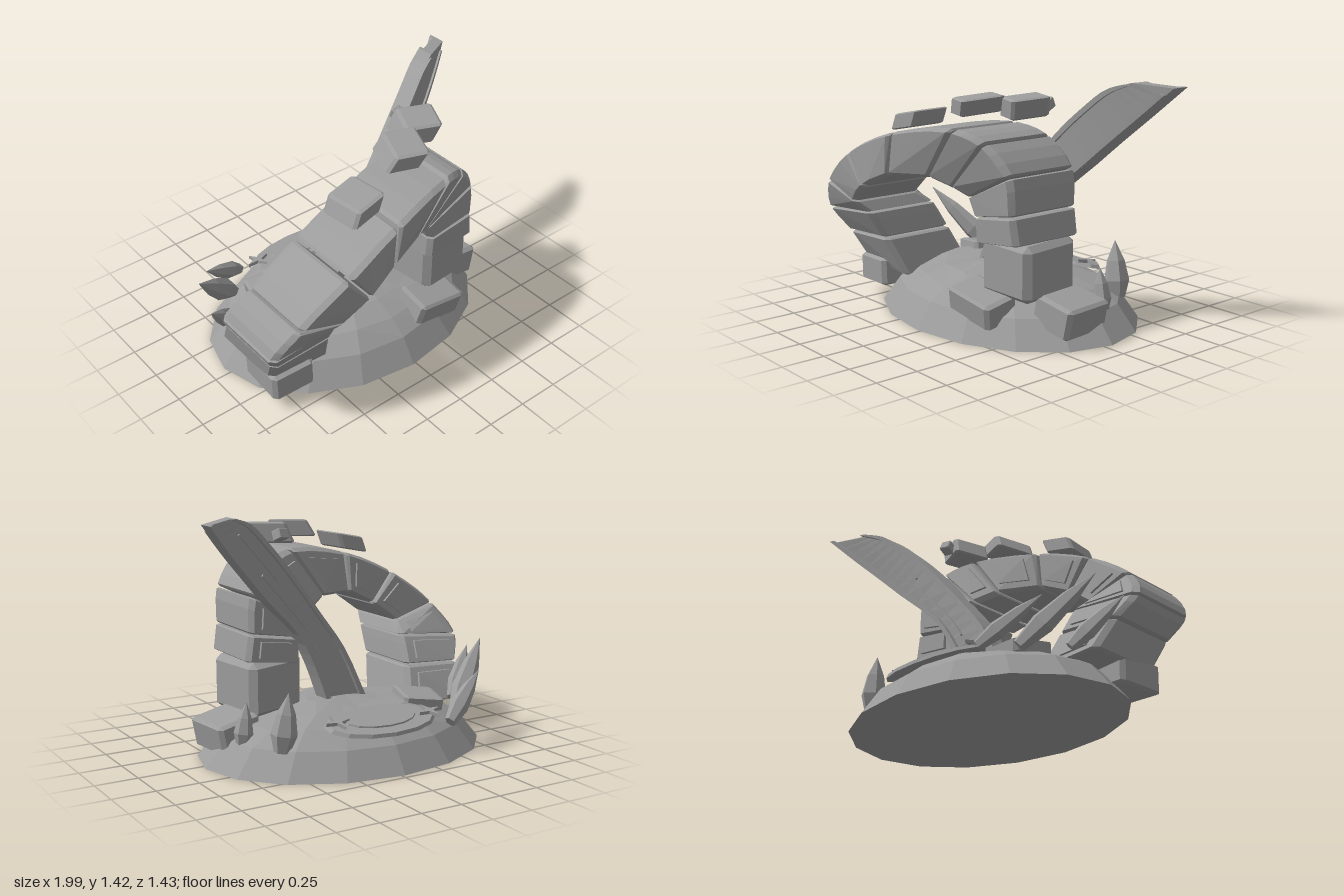
import * as THREE from 'three';
import { ConvexGeometry } from 'three/addons/geometries/ConvexGeometry.js';

const stone = new THREE.MeshStandardMaterial({ color: 0x9c9c9c });
stone.name = 'grey stone';

const V = (x, y, z) => new THREE.Vector3(x, y, z);
const lerp = THREE.MathUtils.lerp;

function flat(geometry) {
  const g = geometry.index ? geometry.toNonIndexed() : geometry;
  g.computeVertexNormals();
  return g;
}

export function createModel() {
  const model = new THREE.Group();
  model.name = 'ruinedArch';
  const add = (name, geometry, parent = model) => {
    const mesh = new THREE.Mesh(geometry, stone);
    mesh.name = name;
    parent.add(mesh);
    return mesh;
  };

  // Low-poly mound
  const profile = [[0, 0], [1, 0], [0.86, 0.15], [0.7, 0.23], [0.5, 0.275], [0.26, 0.3], [0, 0.315]];
  const mound = new THREE.LatheGeometry(profile.map(p => new THREE.Vector2(...p)), 16);
  const mp = mound.attributes.position;
  for (let i = 0; i < mp.count; i++) {
    const x = mp.getX(i), y = mp.getY(i), z = mp.getZ(i);
    const bump = y > 0.2 ? 0.012 * Math.sin(x * 9 + z * 5) : 0;
    mp.setXYZ(i, x * 0.89 - 0.02, y + bump, z * 0.67 - 0.05);
  }
  add('mound', flat(mound));

  // Shallow stepped pool on the mound
  [[0.36, 0.17, 0.25, -0.46], [0.24, 0.11, 0.262, -0.45]].forEach(([rx, rz, y, z]) => {
    const rim = add('poolStep', flat(new THREE.CylinderGeometry(0.95, 1, 0.02, 14)));
    rim.scale.set(rx, 1, rz);
    rim.position.set(-0.03, y, z);
    rim.rotation.x = -0.25;
  });

  // Four-pointed stars lying by the pool
  [[-0.35, 0.255, -0.48, 0.2], [0.25, 0.265, -0.45, 0.1]].forEach(([x, y, z, turn]) => {
    const shape = new THREE.Shape();
    for (let i = 0; i < 8; i++) {
      const r = i % 2 ? 0.022 : 0.08, a = i * Math.PI / 4 + turn;
      shape[i ? 'lineTo' : 'moveTo'](r * Math.cos(a), r * Math.sin(a));
    }
    const star = add('star', new THREE.ExtrudeGeometry(shape, { depth: 0.02, bevelEnabled: false }));
    star.rotation.x = -Math.PI / 2 - 0.2;
    star.position.set(x, y, z);
  });

  // Arch joints: outer x, y; inner x, y; front z; back z
  const joints = [
    [0.60, 0.57, 0.25, 0.53, 0.42, -0.05], [0.575, 0.73, 0.25, 0.68, 0.43, -0.05],
    [0.56, 0.95, 0.2, 0.78, 0.44, -0.05], [0.42, 1.12, 0.13, 0.83, 0.5, 0],
    [0.24, 1.18, 0.01, 0.88, 0.57, 0.08], [-0.2, 1.12, -0.23, 0.87, 0.67, 0.19],
    [-0.57, 0.97, -0.42, 0.78, 0.71, 0.22], [-0.87, 0.75, -0.57, 0.66, 0.67, 0.2],
    [-0.99, 0.55, -0.54, 0.59, 0.59, 0.1], [-0.92, 0.4, -0.52, 0.42, 0.49, 0],
    [-0.87, 0.2, -0.46, 0.17, 0.38, -0.12]];
  const curveOf = f => new THREE.CatmullRomCurve3(joints.map(f));
  const outer = curveOf(j => V(j[0], j[1], 0));
  const inner = curveOf(j => V(j[2], j[3], 0));
  const faces = curveOf(j => V(j[4], j[5], 0));
  // Point of the arch at joint u, a = 0 inner..1 outer, b = 0 back..1 front
  const archPoint = (u, a, b) => {
    const t = u / (joints.length - 1), f = faces.getPoint(t);
    const p = inner.getPoint(t).lerp(outer.getPoint(t), a);
    p.z = lerp(f.y, f.x, b);
    return p;
  };
  const section = (u, e, c) => [[e, c], [e, 1 - c], [c, 1 - e], [1 - c, 1 - e],
    [1 - e, 1 - c], [1 - e, c], [1 - c, e], [c, e]].map(([a, b]) => archPoint(u, a, b));

  const arch = new THREE.Group();
  arch.name = 'arch';
  model.add(arch);
  for (let i = 0; i < joints.length - 1; i++) {
    const block = [[0.025, 0.04], [0.07, 0], [0.35, 0], [0.65, 0], [0.93, 0], [0.975, 0.04]]
      .flatMap(([u, e]) => section(i + u, e, 0.07));
    add('archBlock', new ConvexGeometry(block), arch);
    // Raised panel on the back face
    const plate = [];
    for (const u of [0.2, 0.8]) for (const a of [0.2, 0.8]) {
      const p = archPoint(i + u, a, 0);
      plate.push(p.clone().setZ(p.z - 0.018), p.clone().setZ(p.z + 0.03));
    }
    add('archPanel', new ConvexGeometry(plate), arch);
  }

  // Chamfered, skewed rocks: centre, size, rotation, skew of x with y
  function rock(name, c, s, r = [0, 0, 0], skew = 0, bevel = 0.08) {
    const pts = [], k = 1 - bevel * 2;
    for (const x of [-1, 1]) for (const y of [-1, 1]) for (const z of [-1, 1])
      for (const [a, b, d] of [[1, k, k], [k, 1, k], [k, k, 1]])
        pts.push(V((x * a + skew * y * b) * s[0] / 2, y * b * s[1] / 2, z * d * s[2] / 2));
    const mesh = add(name, new ConvexGeometry(pts));
    mesh.position.set(...c);
    mesh.rotation.set(...r);
  }
  rock('pillarRock', [0.42, 0.41, 0.17], [0.36, 0.32, 0.42], [0, 0.12, -0.06], -0.05, 0.1);
  rock('floatingRock', [-0.29, 1.165, 0.39], [0.2, 0.09, 0.25], [0, 0.1, 0.2], 0.3);
  rock('floatingRock', [0.12, 1.28, 0.29], [0.2, 0.1, 0.25], [0.1, -0.35, 0.05], 0.3);
  rock('floatingRock', [0.35, 1.28, 0.14], [0.22, 0.12, 0.22], [0.1, -0.4, 0.05], 0.25);
  rock('floatingChip', [0.36, 1.28, -0.01], [0.07, 0.06, 0.07], [0.4, 0.2, 0]);
  rock('footRock', [0.29, 0.2, 0.4], [0.35, 0.15, 0.22], [0.2, 0, -0.17]);
  rock('footRock', [0.67, 0.17, 0.08], [0.27, 0.18, 0.34], [0, 0.1, -0.2]);
  rock('footRock', [-0.74, 0.17, 0.28], [0.27, 0.17, 0.32], [0, -0.05, 0.03]);
  rock('fallenSlab', [-0.45, 0.27, -0.22], [0.25, 0.08, 0.24], [-0.1, -0.25, 0.1]);

  // Leaning curved beam, ruled between a left and a right edge
  const edge = pts => new THREE.CatmullRomCurve3(pts.map(([x, y]) => V(x, y, 0)));
  const left = edge([[-0.18, 0.28], [-0.02, 0.6], [0.15, 0.82], [0.4, 1.12], [0.55, 1.27], [0.68, 1.38], [0.8, 1.42]]);
  const right = edge([[0.1, 0.28], [0.2, 0.52], [0.32, 0.72], [0.55, 0.94], [0.69, 1.08], [0.85, 1.24], [1, 1.4]]);
  function strip(name, s0, s1, front, back, t0 = 0, t1 = 1) {
    const pos = [], idx = [], n = 18;
    for (let i = 0; i <= n; i++) {
      const t = lerp(t0, t1, i / n), a = left.getPoint(t), b = right.getPoint(t);
      for (const [s, d] of [[s0, front], [s0, back], [s1, back], [s1, front]]) {
        const p = a.clone().lerp(b, s);
        pos.push(p.x, p.y, -0.02 - 0.1 * p.x - 0.26 * p.x * p.x + d);
      }
      if (i < n) for (let j = 0; j < 4; j++) {
        const k = i * 4, m = (j + 1) % 4;
        idx.push(k + j, k + 4 + j, k + 4 + m, k + j, k + 4 + m, k + m);
      }
    }
    const e = n * 4;
    idx.push(0, 1, 2, 0, 2, 3, e, e + 2, e + 1, e, e + 3, e + 2);
    const g = new THREE.BufferGeometry();
    g.setAttribute('position', new THREE.Float32BufferAttribute(pos, 3));
    g.setIndex(idx);
    add(name, flat(g));
  }
  strip('beam', 0, 1, 0.04, -0.04);
  for (const [a, b] of [[0, 0.12], [0.88, 1]]) {
    strip('beamBackRail', a, b, -0.03, -0.07);
    strip('beamFrontRail', a, b, 0.055, 0.03, 0, 0.96);
  }
  strip('beamGrooveRib', 0.4, 0.45, -0.03, -0.055, 0.5, 0.85);
  strip('beamGrooveRib', 0.62, 0.67, -0.03, -0.055, 0.2, 0.6);

  // Pointed crystals from a base point to a tip
  function crystal(base, tip, r, depth = 1) {
    const a = V(...base), dir = V(...tip).sub(a), h = dir.length();
    const pts = [[0, 0], [r * 0.6, 0], [r, h * 0.3], [r * 0.7, h * 0.65], [0, h]];
    const mesh = add('crystal', flat(new THREE.LatheGeometry(pts.map(p => new THREE.Vector2(...p)), 6)));
    mesh.scale.z = depth;
    mesh.position.copy(a);
    mesh.quaternion.setFromUnitVectors(V(0, 1, 0), dir.normalize());
  }
  crystal([0.69, 0.13, -0.15], [0.66, 0.38, -0.15], 0.055);
  crystal([0.57, 0.14, -0.39], [0.53, 0.47, -0.4], 0.075);
  crystal([-0.45, 0.2, -0.55], [-0.77, 0.44, -0.4], 0.06, 0.8);
  crystal([-0.6, 0.2, -0.4], [-0.95, 0.58, -0.18], 0.075, 0.8);
  crystal([-0.75, 0.22, -0.17], [-0.99, 0.5, 0], 0.06, 0.8);

  return model;
}
